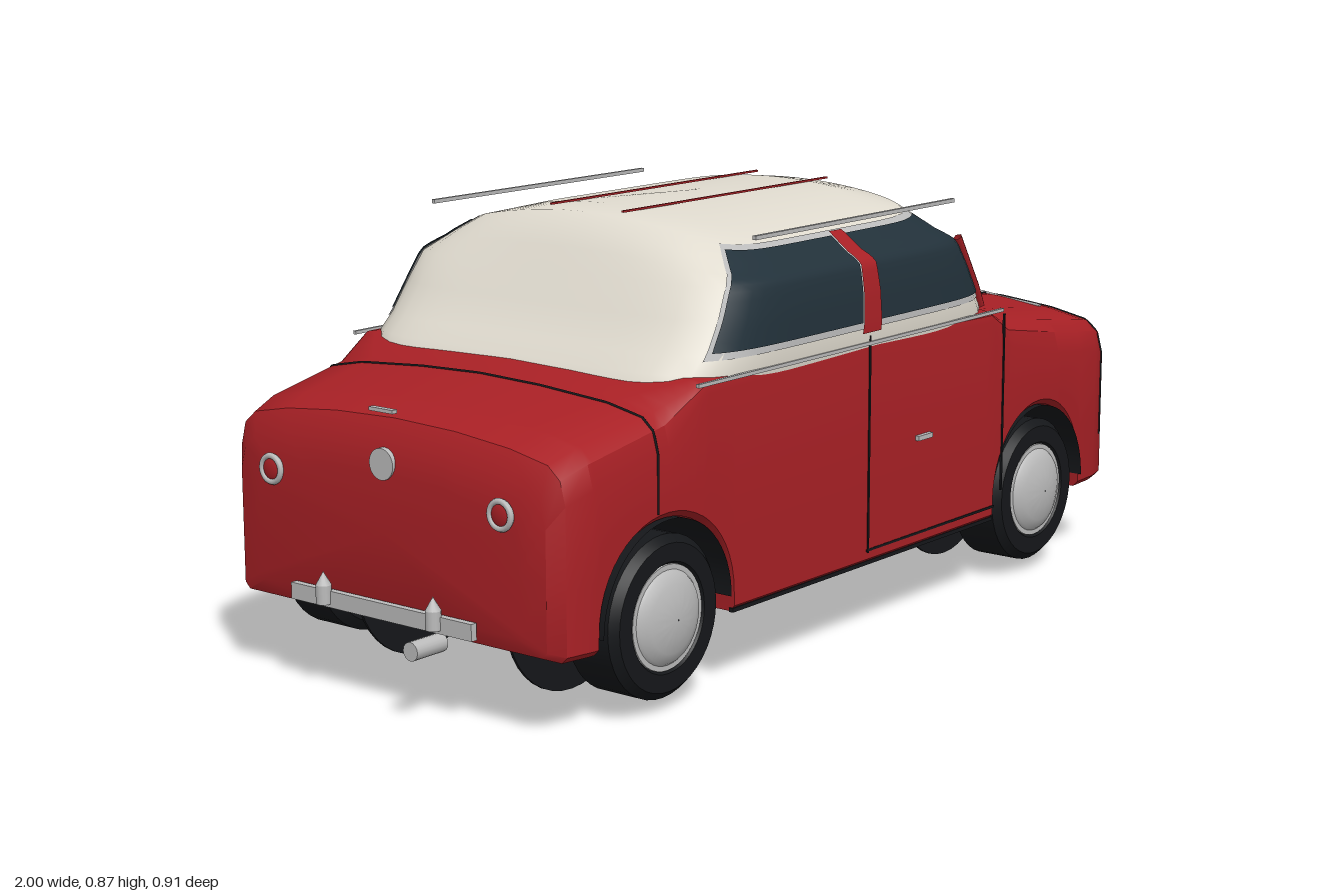
import * as THREE from 'three';
import { toCreasedNormals } from 'three/addons/utils/BufferGeometryUtils.js';

const mat = (color) => new THREE.MeshStandardMaterial({ color, side: THREE.DoubleSide });
const RED = mat(0xa82025), CREAM = mat(0xe0dbcf), GLASS = mat(0x22313a);
const BLACK = mat(0x15171a), SILVER = mat(0xbbbbbb), LAMP = mat(0xf0e0b0);

const WHEELS = [-0.65, 0.62], AXLE = 0.18, ARCH = 0.187, WELL = 0.19;

// Body stations: x, half width, top, bottom, shoulder rounding
const BODY = [
  [-0.945, 0.33, 0.44, 0.19, 1], [-0.935, 0.385, 0.50, 0.16, 1], [-0.91, 0.41, 0.54, 0.15, 1],
  [-0.85, 0.422, 0.56, 0.15, 1], [-0.65, 0.432, 0.592, 0.15, 0.9], [-0.55, 0.436, 0.61, 0.15, 0.25],
  [0, 0.438, 0.612, 0.15, 0.2], [0.42, 0.437, 0.607, 0.15, 0.25], [0.5, 0.435, 0.597, 0.15, 0.8],
  [0.7, 0.43, 0.575, 0.15, 1], [0.88, 0.418, 0.55, 0.15, 1], [0.93, 0.405, 0.54, 0.15, 1],
  [0.953, 0.385, 0.528, 0.15, 1], [0.962, 0.36, 0.50, 0.17, 1]];
// Cabin levels: y, rear x, front x, half width
const CABIN = [
  [0.585, -0.605, 0.485, 0.436], [0.61, -0.59, 0.475, 0.439], [0.64, -0.555, 0.455, 0.438],
  [0.70, -0.51, 0.42, 0.433], [0.76, -0.47, 0.385, 0.422], [0.80, -0.44, 0.36, 0.402],
  [0.835, -0.415, 0.335, 0.373], [0.86, -0.375, 0.305, 0.33], [0.868, -0.3, 0.24, 0.2], [0.868, -0.03, -0.02, 0.001]];

// Interpolates the rows of a table by their first column
function sample(table, x) {
  let i = 0;
  while (i < table.length - 2 && x > table[i + 1][0]) i++;
  const [a, b] = [table[i], table[i + 1]];
  const t = THREE.MathUtils.clamp((x - a[0]) / (b[0] - a[0]), 0, 1);
  return a.map((v, k) => v + (b[k] - v) * t);
}

// Skin over rows of equally many points
function skin(rows, crease = 0.6) {
  const n = rows[0].length, index = [];
  for (let i = 0; i < rows.length - 1; i++) for (let j = 0; j < n - 1; j++) {
    const a = i * n + j, b = a + n;
    index.push(a, b, b + 1, a, b + 1, a + 1);
  }
  const g = new THREE.BufferGeometry();
  g.setAttribute('position', new THREE.Float32BufferAttribute(rows.flat(2), 3));
  g.setIndex(index);
  return toCreasedNormals(g, crease);
}

// Half cross-section [y, z] of the body, from bottom centre to top centre
function halfSection(x) {
  const [, w, t, b, e] = sample(BODY, x);
  let lip = b;
  for (const c of WHEELS) {
    const d = Math.abs(x - c);
    if (d <= ARCH + 1e-5) lip = AXLE + Math.sqrt(Math.max(0, ARCH * ARCH - d * d));
  }
  return [[b, 0], [b, WELL], [lip, WELL], [lip, w - 0.012], [lip + 0.012, w], [Math.max(lip + 0.02, 0.42) * 0.5 + lip * 0.5, w],
    [t - 0.1 * e - 0.005, w], [t - 0.06 * e, w - 0.012 * e], [t - 0.036 * e, w - 0.04 * e],
    [t - 0.018 * e, w - 0.13 * e], [t - 0.005 * e, 0.15], [t, 0]];
}
function section(x) {
  const h = halfSection(x);
  return [...h.map(([y, z]) => [x, y, z]), ...h.slice(0, -1).reverse().map(([y, z]) => [x, y, -z])];
}
// Height of the body's upper surface
function topAt(x, z) {
  const h = halfSection(x).slice(6).reverse().map(([y, q]) => [q, y]);
  return sample(h, Math.abs(z))[1];
}
const widthAt = (x) => sample(BODY, x)[1];

// Point on the cabin: level y, direction c (along x) and s (along z), offset outward
const N = 7;
function cabinPoint([y, x0, x1, w], c, s, off = 0) {
  const r = 1 / Math.pow(Math.abs(c) ** N + Math.abs(s) ** N, 1 / N);
  const z = w * s * r;
  const drop = 0.05 * THREE.MathUtils.smoothstep(y, 0.74, 0.86) * (z / 0.36) ** 2;
  return [(x0 + x1) / 2 + (x1 - x0) / 2 * c * r, y - drop + off * 0.5, z + Math.sign(s) * off];
}

export function createModel() {
  const car = new THREE.Group();
  const add = (name, geometry, material, x = 0, y = 0, z = 0) => {
    const m = new THREE.Mesh(geometry, material);
    m.name = name;
    m.position.set(x, y, z);
    car.add(m);
    return m;
  };
  const box = (name, material, sx, sy, sz, x, y, z) => add(name, new THREE.BoxGeometry(sx, sy, sz), material, x, y, z);
  const tube = (name, pts, r, material) => {
    const path = new THREE.CurvePath();
    for (let i = 0; i < pts.length - 1; i++)
      path.add(new THREE.LineCurve3(new THREE.Vector3(...pts[i]), new THREE.Vector3(...pts[i + 1])));
    return add(name, new THREE.TubeGeometry(path, pts.length * 5, r, 5), material);
  };

  // Lower body with the wheel arches cut into it
  const xs = BODY.map((k) => k[0]);
  for (const c of WHEELS) {
    xs.push(c - ARCH - 0.001, c + ARCH + 0.001);
    for (let i = 0; i <= 24; i++) xs.push(c + ARCH * Math.cos(Math.PI * i / 24));
  }
  for (let i = -4; i <= 4; i++) xs.push(i * 0.1 + 0.003);
  xs.sort((a, b) => a - b);
  const rows = xs.map(section);
  const cap = (row) => row.map(([x]) => [x, 0.33, 0]);
  add('body', skin([cap(rows[0]), ...rows, cap(rows.at(-1))]), RED);

  // Cabin with roof
  const ring = (k) => Array.from({ length: 97 }, (_, j) =>
    cabinPoint(k, Math.cos(j * Math.PI / 48), Math.sin(j * Math.PI / 48)));
  add('cabin', skin(CABIN.map(ring), 0.9), CREAM);

  // Patches lying on the cabin sides: levels y0..y1, span s0..s1 of the side
  const patch = (name, material, side, y0, y1, s0, s1, off) => {
    const grid = [];
    for (let i = 0; i <= 12; i++) {
      const level = sample(CABIN, y0 + (y1 - y0) * i / 12), row = [];
      for (let j = 0; j <= 12; j++) {
        const s = s0 + (s1 - s0) * j / 12;
        row.push(cabinPoint(level, -side * s, side, off));
      }
      grid.push(side > 0 ? row : row.map((_, j) => row[12 - j]).map((p) => p).reverse());
    }
    const m = add(name, skin(grid, 0.9), material);
    if (side < 0) m.name = name + 'Right';
  };
  for (const side of [1, -1]) {
    // s runs along -x on the left and +x on the right
    const span = (a, b) => (side > 0 ? [-b, -a] : [a, b]);
    patch('windowFrame', SILVER, side, 0.63, 0.857, ...span(-0.985, 0.985), 0.002);
    patch('rearSideWindow', GLASS, side, 0.642, 0.85, ...span(-0.96, -0.02), 0.005);
    patch('frontSideWindow', GLASS, side, 0.642, 0.85, ...span(0.1, 0.96), 0.005);
    patch('doorPillar', RED, side, 0.62, 0.855, ...span(-0.02, 0.1), 0.007);
  }

  for (const s of [1, -1]) {
    // Red strips beside the windscreen
    tube('screenPillar', [[0.475, 0.6, s * 0.37], [0.455, 0.64, s * 0.37], [0.39, 0.755, s * 0.365]], 0.01, RED);
    // Roof trim and belt trim
    box('roofGroove', RED, 0.67, 0.004, 0.005, -0.035, 0.867, s * 0.092);
    box('roofRail', SILVER, 0.67, 0.008, 0.008, -0.035, 0.845, s * 0.41);
    box('beltTrim', SILVER, 1.03, 0.007, 0.007, -0.06, 0.6, s * 0.438);
    // Door seams, sill and handle
    box('doorSeamRear', BLACK, 0.005, 0.44, 0.004, -0.03, 0.395, s * 0.438);
    box('doorSeamFront', BLACK, 0.005, 0.38, 0.004, 0.465, 0.4, s * 0.436);
    box('doorSeamLower', BLACK, 0.47, 0.005, 0.004, 0.2, 0.18, s * 0.437);
    box('sill', BLACK, 0.9, 0.008, 0.01, -0.015, 0.153, s * 0.43);
    box('doorHandle', SILVER, 0.05, 0.01, 0.012, 0.16, 0.38, s * 0.441);
    // Bonnet creases and thin bars at the nose
    const crease = [[0.48, 0.22], [0.53, 0.232], [0.62, 0.215], [0.7, 0.2], [0.77, 0.172], [0.83, 0.14], [0.92, 0.1]];
    tube('bonnetSeam', crease.map(([x, z]) => [x, topAt(x, z) + 0.001, s * z]), 0.003, BLACK);
    tube('noseBar', [[0.855, 0.538, s * 0.285], [0.89, 0.539, s * 0.17], [0.92, 0.541, s * 0.09]], 0.004, SILVER);

    // Lamps
    const lamp = add('headlight', new THREE.SphereGeometry(0.036, 24, 12), LAMP, 0.96, 0.395, s * 0.25);
    lamp.scale.x = 0.3;
    const ringMesh = add('tailLightRing', new THREE.TorusGeometry(0.025, 0.006, 8, 24), SILVER, -0.947, 0.41, s * 0.29);
    ringMesh.rotation.y = Math.PI / 2;
    const tail = add('tailLight', new THREE.SphereGeometry(0.024, 20, 10), RED, -0.945, 0.41, s * 0.29);
    tail.scale.x = 0.3;

    // Overriders with pointed tops
    for (const [x, z] of [[0.985, 0.215], [-0.965, 0.14]]) {
      add('overrider', new THREE.CylinderGeometry(0.015, 0.015, 0.036, 14), SILVER, x, 0.196, s * z);
      add('overriderTip', new THREE.ConeGeometry(0.015, 0.026, 14), SILVER, x, 0.227, s * z);
    }
  }

  // Seams running over the body
  for (const [x, low] of [[-0.68, 0.38], [0.92, 0.25]]) {
    const h = halfSection(x).filter(([y]) => y > low);
    const pts = [[low, widthAt(x)], ...h].map(([y, z]) => [x, y, z]);
    tube('bodySeam', [...pts, ...pts.slice(0, -1).reverse().map(([a, y, z]) => [a, y, -z])], 0.003, BLACK);
  }

  // Bumpers, plate, badge and exhaust
  box('frontBumper', SILVER, 0.016, 0.032, 0.71, 0.972, 0.187, 0);
  box('rearBumper', SILVER, 0.014, 0.032, 0.46, -0.955, 0.187, 0);
  box('plateFrame', BLACK, 0.006, 0.056, 0.228, 0.982, 0.187, 0);
  box('plate', CREAM, 0.006, 0.044, 0.216, 0.984, 0.187, 0);
  box('noseTrim', SILVER, 0.006, 0.006, 0.022, 0.963, 0.345, 0);
  box('bootHandle', SILVER, 0.012, 0.007, 0.06, -0.94, 0.56, 0);
  const badge = add('bootBadge', new THREE.CylinderGeometry(0.03, 0.03, 0.012, 24), SILVER, -0.942, 0.46, 0);
  badge.rotation.z = Math.PI / 2;
  const pipe = add('exhaust', new THREE.CylinderGeometry(0.018, 0.018, 0.08, 16), SILVER, -0.96, 0.14, 0.115);
  pipe.rotation.z = Math.PI / 2;

  // Wheels, each with a dark arch lining and inner disc
  const lathe = (pts, seg = 40) => toCreasedNormals(
    new THREE.LatheGeometry(pts.map(([r, y]) => new THREE.Vector2(r, y)), seg).rotateX(Math.PI / 2), 0.5);
  const tyre = lathe([[0.001, 0.305], [0.135, 0.303], [0.155, 0.318], [0.155, 0.415], [0.14, 0.43], [0.105, 0.43], [0.095, 0.415], [0.001, 0.415]]);
  const rim = lathe([[0.102, 0.41], [0.1, 0.427], [0.09, 0.427], [0.085, 0.433], [0.065, 0.442], [0.035, 0.45], [0.001, 0.453]]);
  const lining = new THREE.CylinderGeometry(0.185, 0.185, 0.24, 32, 1, true, Math.PI / 2, Math.PI)
    .rotateX(Math.PI / 2).translate(0, 0, 0.312);
  const disc = new THREE.CylinderGeometry(0.18, 0.18, 0.006, 40).rotateX(Math.PI / 2).translate(0, 0, 0.192);
  for (const x of WHEELS) for (const s of [1, -1]) {
    const wheel = new THREE.Group();
    wheel.name = 'wheel';
    for (const [name, g, m] of [['tyre', tyre, BLACK], ['hubcap', rim, SILVER], ['archLining', lining, BLACK], ['archDisc', disc, BLACK]]) {
      const mesh = new THREE.Mesh(g, m);
      mesh.name = name;
      wheel.add(mesh);
    }
    wheel.position.set(x, AXLE, 0);
    wheel.scale.z = s;
    car.add(wheel);
  }
  return car;
}
